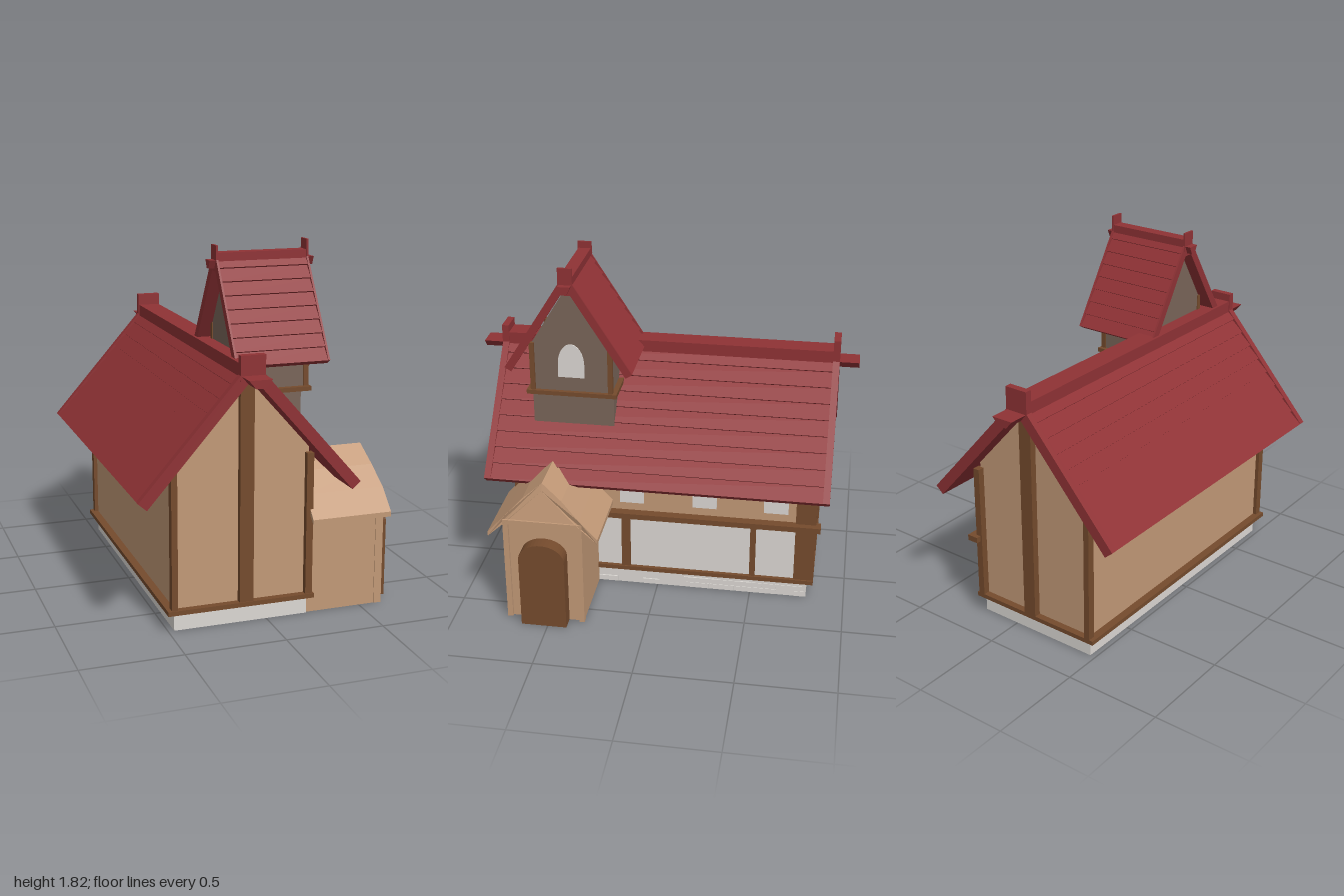
import * as THREE from 'three';

const mat = (name, color) => {
  const m = new THREE.MeshStandardMaterial({ color });
  m.name = name;
  return m;
};

export function createModel() {
  const red = mat('roof red', 0x8f3235);
  const tan = mat('tan plaster', 0xc29977);
  const brown = mat('timber brown', 0x754b2d);
  const pale = mat('pale stone', 0xdcd8d4);
  const grey = mat('tower grey brown', 0x796559);
  const model = new THREE.Group();
  model.name = 'house';

  const add = (name, geo, m, parent = model) => {
    const mesh = new THREE.Mesh(geo, m);
    mesh.name = name;
    parent.add(mesh);
    return mesh;
  };
  // Box given by its limits on each axis
  const box = (name, m, x0, x1, y0, y1, z0, z1, parent = model) => {
    const g = new THREE.BoxGeometry(x1 - x0, y1 - y0, z1 - z0);
    g.translate((x0 + x1) / 2, (y0 + y1) / 2, (z0 + z1) / 2);
    return add(name, g, m, parent);
  };
  // Extrusion of an x-y outline from z0 to z1
  const prism = (points, z0, z1) => {
    const s = Array.isArray(points) ? new THREE.Shape(points.map(p => new THREE.Vector2(p[0], p[1]))) : points;
    const g = new THREE.ExtrudeGeometry(s, { depth: z1 - z0, bevelEnabled: false, curveSegments: 10 });
    return g.translate(0, 0, z0);
  };
  // Same, but running along x and centred on cz
  const prismX = (points, x0, x1, cz) => prism(points, x0, x1).rotateY(Math.PI / 2).translate(0, 0, cz);
  const gable = (h, y0, yWall, yTop) => [[-h, y0], [h, y0], [h, yWall], [0, yTop], [-h, yWall]];
  const arch = (w, y0, ySpring, yTop) => {
    const s = new THREE.Shape();
    s.moveTo(-w / 2, y0);
    s.lineTo(w / 2, y0);
    s.lineTo(w / 2, ySpring);
    s.absellipse(0, ySpring, w / 2, yTop - ySpring, 0, Math.PI, false);
    s.closePath();
    return s;
  };

  // Gabled roof with stepped shingle rows, barge boards and ridge; ridge runs along z
  const makeRoof = (name, o) => {
    const g = new THREE.Group();
    g.name = name;
    const L = Math.hypot(1, o.slope), n = [o.slope / L, 1 / L];
    const at = (u, d) => [u - n[0] * d, o.top - o.slope * u - n[1] * d];
    for (const side of [1, -1]) {
      const outline = [at(o.start, o.thick), at(o.half, o.thick)];
      for (let i = o.rows; i > 0; i--) {
        outline.push(at(o.start + (o.half - o.start) * i / o.rows, 0.002));
        outline.push(at(o.start + (o.half - o.start) * (i - 1) / o.rows, 0.014));
      }
      const flip = pts => pts.map(p => [p[0] * side, p[1]]);
      add('shingleRows', prism(flip(outline), o.z0, o.z1), red, g);
      const board = [at(o.start, o.thick), at(o.half, o.thick), at(o.half, 0), at(o.start, 0)];
      add('bargeBoard', prism(flip(board), o.z0 - 0.002, o.z0 + o.board), red, g);
      add('bargeBoard', prism(flip(board), o.z1 - o.board, o.z1 + 0.002), red, g);
    }
    const w = o.ridgeW;
    box('ridgeCap', red, -w, w, o.capTop - 0.09, o.capTop, o.z0, o.z1, g);
    box('ridgeEnd', red, -w - 0.004, w + 0.004, o.capTop - 0.08, o.endTops[0], o.z0 - 0.003, o.z0 + o.board, g);
    box('ridgeEnd', red, -w - 0.004, w + 0.004, o.capTop - 0.08, o.endTops[1], o.z1 - o.board, o.z1 + 0.003, g);
    const b = o.beamTop;
    add('ridgeBeam', prism([[-w, b], [-w * 0.4, b - 0.04], [w * 0.4, b - 0.04], [w, b]],
      o.z0 - o.beamOut, o.z1 + o.beamOut), red, g);
    model.add(g);
    return g;
  };

  // Stone base with irregular blocks on the entrance side
  box('stoneBase', pale, -0.47, 0.21, 0, 0.1, -0.8, 0.73);
  let seed = 7;
  const rnd = () => (seed = (seed * 16807) % 2147483647) / 2147483647;
  for (let row = 0; row < 3; row++) {
    for (let z = -0.79; z < 0.26;) {
      const w = 0.06 + rnd() * 0.1;
      if (rnd() > 0.4) box('stoneBlock', pale, 0.205, 0.217, 0.004 + row * 0.031, 0.033 + row * 0.031, z, z + w - 0.006);
      z += w;
    }
  }

  // Main walls
  const cx = -0.13;
  add('houseWalls', prism(gable(0.34, 0.1, 0.855, 1.24), -0.8, 0.735).translate(cx, 0, 0), tan);

  // Timber frame on both gable ends
  for (const [z0, z1] of [[0.725, 0.77], [-0.835, -0.79]]) {
    box('gablePost', brown, -0.15, -0.08, 0.1, 1.215, z0, z1 - 0.005);
    box('cornerPost', brown, -0.49, -0.46, 0.1, 0.83, z0, z1 - 0.005);
    box('cornerPost', brown, 0.19, 0.225, 0.1, 0.83, z0, z1 - 0.005);
    box('gableSill', brown, -0.51, 0.235, 0.092, 0.115, z0, z1);
  }
  box('sideSill', brown, -0.51, -0.465, 0.092, 0.115, -0.83, 0.765);
  box('sideSill', brown, 0.2, 0.235, 0.092, 0.115, -0.83, 0.765);

  // Entrance side: panels, posts, rail and arched windows
  box('palePanel', pale, 0.208, 0.215, 0.115, 0.43, -0.735, 0.73);
  box('rail', brown, 0.2, 0.26, 0.425, 0.455, -0.86, 0.72);
  box('widePost', brown, 0.2, 0.226, 0.1, 0.82, -0.825, -0.73);
  box('panelPost', brown, 0.2, 0.228, 0.115, 0.43, 0.145, 0.192);
  box('panelPost', brown, 0.2, 0.228, 0.115, 0.43, -0.525, -0.495);
  for (const z of [0.135, -0.25, -0.625])
    add('archedWindow', prismX(arch(0.128, 0.5, 0.57, 0.68), 0.209, 0.216, z), pale);

  // Main roof
  makeRoof('mainRoof', {
    top: 1.327, slope: 1.14, half: 0.55, thick: 0.055, start: 0.04, rows: 9, z0: -0.897, z1: 0.867,
    board: 0.032, ridgeW: 0.057, capTop: 1.31, endTops: [1.37, 1.35], beamTop: 1.255, beamOut: 0.103,
  }).position.x = cx + 0.003;

  // Tower
  const tz = 0.435;
  add('towerBase', prismX([[-0.21, 0.85], [0.21, 0.85], [0.21, 1.13], [-0.21, 1.13]], -0.09, 0.2, tz), grey);
  add('towerWalls', prismX(gable(0.205, 1.12, 1.38, 1.71), -0.11, 0.225, tz), grey);
  box('towerSill', brown, -0.13, 0.246, 1.112, 1.134, tz - 0.232, tz + 0.232);
  for (const s of [1, -1]) {
    for (const x of [-0.115, 0.212])
      box('towerPost', brown, x, x + 0.026, 1.13, 1.39, tz + s * 0.2 - 0.012, tz + s * 0.2 + 0.012);
  }
  add('towerWindow', prismX(arch(0.135, 1.21, 1.28, 1.39), 0.223, 0.231, tz), pale);
  const towerRoof = makeRoof('towerRoof', {
    top: 1.79, slope: 1.58, half: 0.325, thick: 0.04, start: 0.02, rows: 8, z0: -0.233, z1: 0.233,
    board: 0.008, ridgeW: 0.032, capTop: 1.765, endTops: [1.8, 1.815], beamTop: 1.73, beamOut: 0.033,
  });
  towerRoof.rotation.y = Math.PI / 2;
  towerRoof.position.set(0.065, 0, tz);

  // Porch, with the front of its gable leaning back
  const pz = 0.522;
  const lean = (g, front) => {
    const p = g.attributes.position;
    for (let i = 0; i < p.count; i++) {
      const over = Math.max(0, p.getY(i) - 0.59);
      if (p.getX(i) > front - 0.01) p.setX(i, p.getX(i) - over * 0.22);
    }
    g.computeVertexNormals();
    return g;
  };
  box('porchWalls', tan, 0.19, 0.605, 0, 0.57, pz - 0.2, pz + 0.2);
  add('porchGable', lean(prismX(gable(0.2, 0.565, 0.58, 0.76), 0.19, 0.612, pz), 0.612), tan);
  for (const s of [1, -1])
    box('porchPost', tan, 0.58, 0.62, 0, 0.57, pz + s * 0.19 - 0.014, pz + s * 0.19 + 0.014);
  box('porchLintel', tan, 0.58, 0.62, 0.555, 0.58, pz - 0.204, pz + 0.204);
  add('porchRoof', lean(prismX([
    [0, 0.785], [-0.1, 0.7], [-0.19, 0.605], [-0.283, 0.505], [-0.283, 0.48], [-0.18, 0.575],
    [0, 0.745], [0.18, 0.575], [0.283, 0.48], [0.283, 0.505], [0.19, 0.605], [0.1, 0.7],
  ], 0.21, 0.622, pz), 0.622), tan);
  add('archedDoor', prismX(arch(0.236, 0, 0.39, 0.48), 0.58, 0.68, pz - 0.003), brown);

  return model;
}
